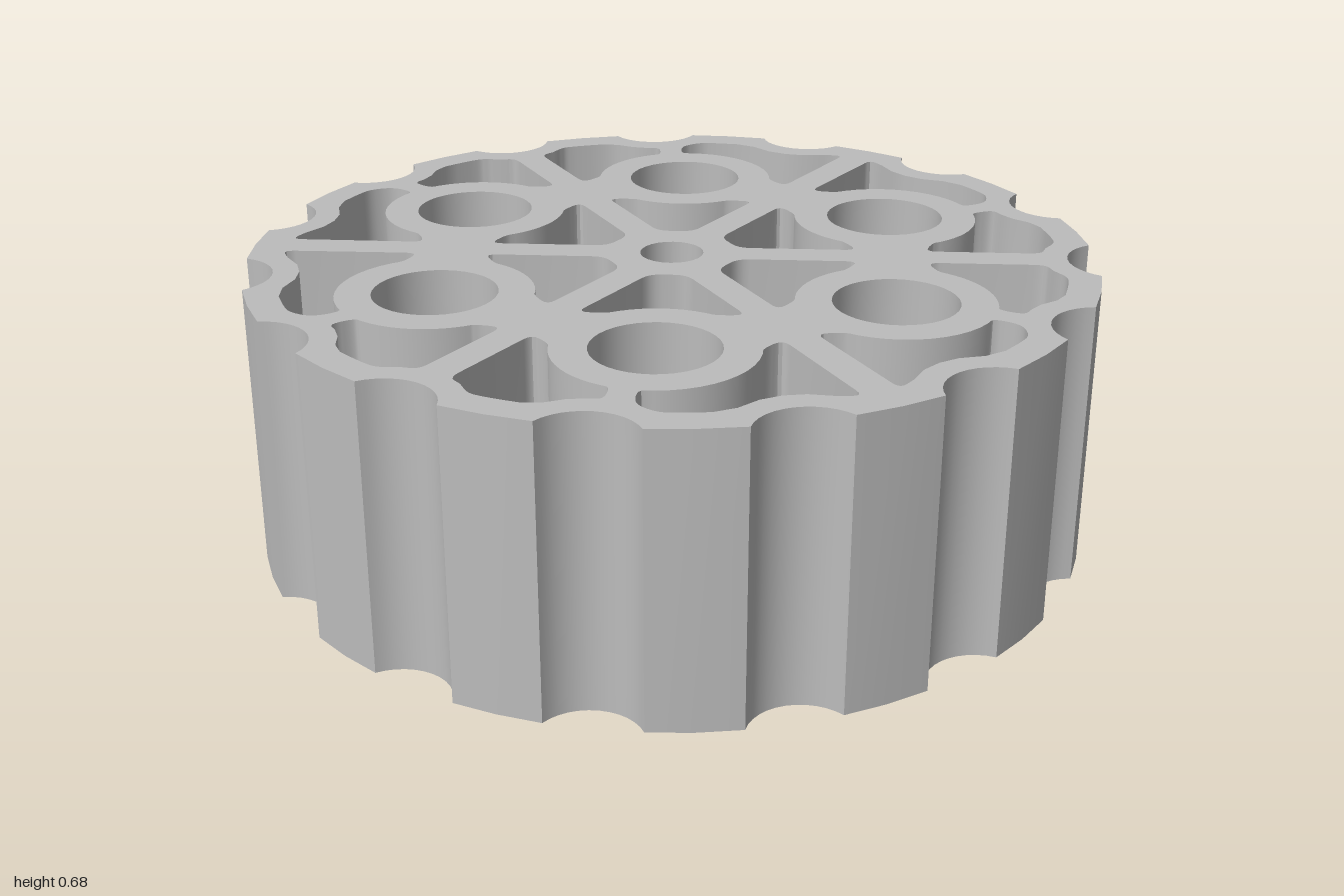
import * as THREE from 'three';
import { mergeGeometries, toCreasedNormals } from 'three/addons/utils/BufferGeometryUtils.js';

const HEIGHT = 0.68, FLOOR = 0.08;
const SCALLOPS = 15, SCALLOP_DIST = 1.05, SCALLOP_R = 0.12;
const RIM_INNER = 0.925, RIM_WALL = 0.06;
const HOLE_DIST = 0.595, HOLE_R = 0.143, RING_R = 0.225, SPOKE = 0.04;
const rad = THREE.MathUtils.degToRad;
const polar = (r, deg) => new THREE.Vector2(r * Math.cos(rad(deg)), r * Math.sin(rad(deg)));
const turn = (p, deg) => p.clone().rotateAround(new THREE.Vector2(), rad(deg));

function arc(center, r, from, to, n) {
  return Array.from({ length: n + 1 }, (_, i) => polar(r, from + (to - from) * i / n).add(center));
}

// Round the corners of a closed loop
function rounded(points, radius) {
  const out = [];
  points.forEach((p, i) => {
    const a = points[(i + points.length - 1) % points.length], b = points[(i + 1) % points.length];
    const pa = a.clone().sub(p), pb = b.clone().sub(p);
    if (pa.angleTo(pb) > rad(150)) { out.push(p); return; }
    const r1 = p.clone().addScaledVector(pa, Math.min(radius / pa.length(), 0.45));
    const r2 = p.clone().addScaledVector(pb, Math.min(radius / pb.length(), 0.45));
    out.push(...new THREE.QuadraticBezierCurve(r1, p, r2).getPoints(4));
  });
  return out;
}

const ccw = (loop) => THREE.ShapeUtils.isClockWise(loop) ? loop.reverse() : loop;

// Upright wall along a loop, facing outward, or inward for a cavity
function wall(loop, low, high, cavity) {
  const pts = cavity ? [...loop].reverse() : loop, pos = [];
  pts.forEach((a, i) => {
    const b = pts[(i + 1) % pts.length];
    pos.push(a.x, a.y, low, b.x, b.y, low, b.x, b.y, high, a.x, a.y, low, b.x, b.y, high, a.x, a.y, high);
  });
  const g = new THREE.BufferGeometry();
  g.setAttribute('position', new THREE.Float32BufferAttribute(pos, 3));
  return toCreasedNormals(g, rad(28));
}

function face(loop, holes, level) {
  const shape = new THREE.Shape(loop);
  shape.holes = holes.map((h) => new THREE.Path(h));
  return new THREE.ShapeGeometry(shape).translate(0, 0, level);
}

// Scalloped outline
function outline() {
  const loop = [], step = 360 / SCALLOPS;
  for (let k = 0; k < SCALLOPS; k++) {
    const a = k * step;
    loop.push(...arc(polar(SCALLOP_DIST, a), SCALLOP_R, a + 242.3, a + 117.7, 12));
    loop.push(polar(1, a + step / 2));
  }
  return loop;
}

// Inside radius of the rim, which bulges in behind each scallop
function rimRadius(deg) {
  const step = 360 / SCALLOPS, d = rad(deg - Math.round(deg / step) * step);
  const q = (SCALLOP_R + RIM_WALL) ** 2 - (SCALLOP_DIST * Math.sin(d)) ** 2;
  return q > 0 ? Math.min(RIM_INNER, SCALLOP_DIST * Math.cos(d) - Math.sqrt(q)) : RIM_INNER;
}

// Point along the edge of a spoke, seen from the middle of its sector
const spokeEdge = (t) => polar(t, 30).add(polar(SPOKE, -60));
const holeCenter = new THREE.Vector2(HOLE_DIST, 0);

// Triangular pocket near the hub
function innerPocket(a) {
  const flip = (p) => new THREE.Vector2(p.x, -p.y);
  const side = [spokeEdge(0.156), spokeEdge(0.44)];
  const loop = [...side, ...arc(holeCenter, RING_R, 148, 212, 10), flip(side[1]), flip(side[0])];
  return ccw(rounded(loop, 0.03).map((p) => turn(p, a)));
}

// Curved pocket between a hole ring, a spoke and the rim
function outerPocket(a, s) {
  const lean = Math.sign(Math.round(a / 24) * 24 - a);
  const start = 2 + s * lean * 3.5, end = 27.4, n = 9;
  const loop = arc(holeCenter, RING_R, start * 3.64, 92, 12);
  loop.push(spokeEdge(0.6));
  for (let i = 0; i <= n; i++) {
    const t = end + (start - end) * i / n;
    loop.push(polar(rimRadius(a + s * t), t));
  }
  return ccw(rounded(loop, 0.03).map((p) => turn(new THREE.Vector2(p.x, p.y * s), a)));
}

export function createModel() {
  const model = new THREE.Group();
  const grey = new THREE.MeshStandardMaterial({ color: 0xbcbcbc });
  grey.name = 'grey';
  const add = (name, ...geometries) => {
    const mesh = new THREE.Mesh(mergeGeometries(geometries.map((g) => {
      g.deleteAttribute('uv');
      return g.index ? g.toNonIndexed() : g;
    })).rotateX(-Math.PI / 2), grey);
    mesh.name = name;
    model.add(mesh);
  };

  const rim = outline();
  const bores = [arc(new THREE.Vector2(), 0.075, 0, 345, 23)], pockets = [];
  for (let a = 30; a < 360; a += 60) {
    bores.push(arc(polar(HOLE_DIST, a), HOLE_R, 0, 350, 35));
    pockets.push(innerPocket(a), outerPocket(a, 1), outerPocket(a, -1));
  }

  add('scallopedRim', wall(rim, 0, HEIGHT, false));
  add('topFace', face(rim, [...bores, ...pockets], HEIGHT));
  // Underside is the outline turned over
  const mirrored = (loop) => loop.map((p) => new THREE.Vector2(p.x, -p.y));
  add('underside', face(mirrored(rim), bores.map(mirrored), 0).rotateX(Math.PI));
  add('bores', ...bores.map((b) => wall(b, 0, HEIGHT, true)));
  add('pocketWalls', ...pockets.map((p) => wall(p, FLOOR, HEIGHT, true)));
  add('pocketFloors', ...pockets.map((p) => face(p, [], FLOOR)));
  return model;
}
